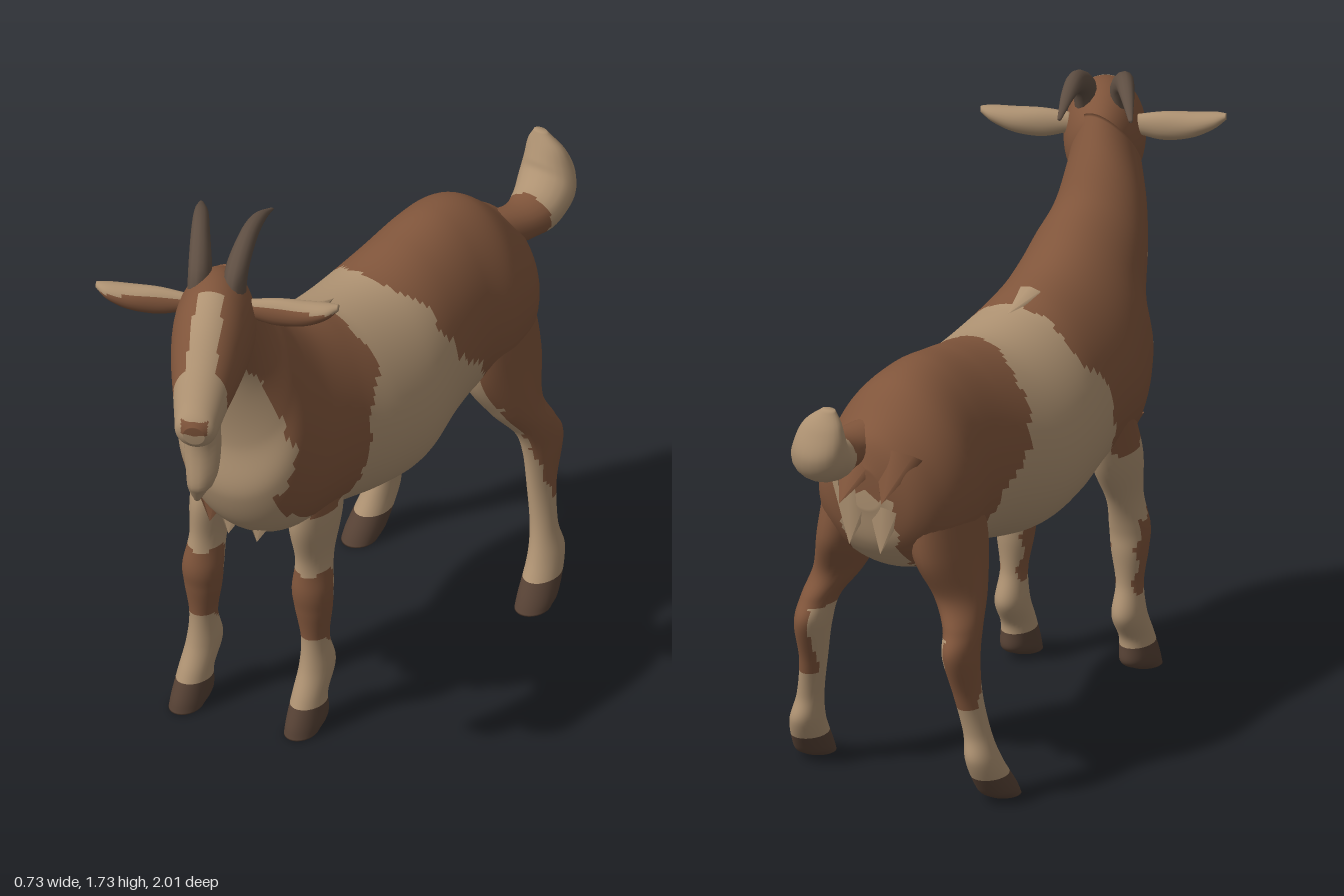
import * as THREE from 'three';

const mat = (name, color) => {
  const m = new THREE.MeshStandardMaterial({ color });
  m.name = name;
  return m;
};
const BROWN = 0, CREAM = 1, HOOF = 2, HORN = 3;

// Piecewise linear lookup in a table of [key, value] pairs
function lookup(table, k) {
  if (k <= table[0][0]) return table[0][1];
  for (let i = 1; i < table.length; i++) {
    const [k0, v0] = table[i - 1], [k1, v1] = table[i];
    if (k <= k1) return v0 + (v1 - v0) * (k - k0) / (k1 - k0);
  }
  return table[table.length - 1][1];
}

// Coat patch edges: height -> z
const hindEdge = [[0.3, -0.63], [0.42, -0.6], [0.52, -0.57], [0.6, -0.525], [0.66, -0.48],
  [0.75, -0.43], [0.85, -0.38], [0.9, -0.3], [0.96, -0.25], [1.05, -0.205], [1.18, -0.19]];
const shoulderBack = [[0.7, 0.3], [0.74, 0.24], [0.85, 0.2], [1, 0.17], [1.06, 0.085], [1.2, 0.08]];
const shoulderFront = [[0.7, 0.33], [0.74, 0.42], [0.79, 0.5], [0.85, 0.52], [0.95, 0.485],
  [1.05, 0.49], [1.2, 0.535], [1.3, 0.58], [1.4, 0.75]];

function coat(x, y, z) {
  const w = 0.006 * Math.sin(55 * y) + 0.005 * Math.sin(40 * x + 90 * y);
  if (z < 0) {
    const rear = z < -0.66 || (z < -0.5 && y < 0.78);
    if (Math.abs(x) < 0.085 + w && y < 0.94 && rear) return CREAM;
    const top = y > 1.1 ? 0.06 * Math.max(0, 1 - Math.abs(x) / 0.18) : 0;
    return z < lookup(hindEdge, y) + top + w ? BROWN : CREAM;
  }
  if (y < 0.715) return CREAM;
  return z > lookup(shoulderBack, y) + w && z < lookup(shoulderFront, y) + w ? BROWN : CREAM;
}

// Skin through sections [z1, y1, z2, y2, halfWidth, centreX]; each ring is an
// ellipse whose one axis joins the two points and whose other axis runs along x;
// pear widens the side of the second point
function loft(name, mats, sections, paint, sides = 32, steps = 8, pear = 0) {
  const curve = f => new THREE.CatmullRomCurve3(sections.map(f), false, 'catmullrom', 0.5);
  const first = curve(s => new THREE.Vector3(0, s[1], s[0]));
  const second = curve(s => new THREE.Vector3(0, s[3], s[2]));
  const width = curve(s => new THREE.Vector3(s[4], s[5] || 0, 0));
  const rows = (sections.length - 1) * steps, pos = [], bins = [[], [], [], []];
  for (let i = 0; i <= rows; i++) {
    const a = first.getPoint(i / rows), b = second.getPoint(i / rows), w = width.getPoint(i / rows);
    for (let j = 0; j < sides; j++) {
      const t = j / sides * Math.PI * 2, k = (1 + Math.sin(t)) / 2;
      const half = Math.max(w.x, 0.002) * (1 - pear * Math.sin(t));
      pos.push(w.y + half * Math.cos(t), b.y + (a.y - b.y) * k, b.z + (a.z - b.z) * k);
    }
  }
  const centre = ids => [0, 1, 2].map(c => ids.reduce((s, i) => s + pos[i * 3 + c], 0) / ids.length);
  const face = ids => {
    const bin = bins[paint(...centre(ids))];
    for (let k = 2; k < ids.length; k++) bin.push(ids[0], ids[k - 1], ids[k]);
  };
  for (let i = 0; i < rows; i++) for (let j = 0; j < sides; j++) {
    const n = (j + 1) % sides, r = i * sides, q = r + sides;
    face([r + j, r + n, q + n, q + j]);
  }
  // End caps
  for (const row of [0, rows]) {
    const ring = Array.from({ length: sides }, (_, j) => row * sides + j);
    const mid = pos.length / 3;
    pos.push(...centre(ring));
    ring.forEach((v, j) => {
      const n = ring[(j + 1) % sides];
      face(row ? [mid, v, n] : [mid, n, v]);
    });
  }
  const geo = new THREE.BufferGeometry();
  geo.setAttribute('position', new THREE.Float32BufferAttribute(pos, 3));
  geo.setIndex(bins.flat());
  let start = 0;
  bins.forEach((bin, m) => {
    if (bin.length) geo.addGroup(start, bin.length, m);
    start += bin.length;
  });
  geo.computeVertexNormals();
  const mesh = new THREE.Mesh(geo, mats);
  mesh.name = name;
  return mesh;
}

export function createModel() {
  const goat = new THREE.Group();
  goat.name = 'goat';
  const mats = [mat('brownCoat', 0x80553b), mat('creamCoat', 0xae9272),
    mat('darkHoof', 0x574235), mat('horn', 0x5e4e42)];

  // Trunk and neck
  goat.add(loft('trunkAndNeck', mats, [
    [-0.77, 1.02, -0.765, 0.9, 0.05], [-0.74, 1.1, -0.73, 0.78, 0.15],
    [-0.68, 1.15, -0.65, 0.69, 0.205], [-0.58, 1.225, -0.53, 0.65, 0.23],
    [-0.45, 1.245, -0.42, 0.65, 0.22], [-0.3, 1.22, -0.28, 0.625, 0.235],
    [-0.12, 1.185, -0.1, 0.585, 0.27], [0.05, 1.195, 0.05, 0.595, 0.27],
    [0.15, 1.225, 0.25, 0.63, 0.245], [0.24, 1.255, 0.46, 0.66, 0.235],
    [0.31, 1.295, 0.565, 0.82, 0.21], [0.37, 1.345, 0.565, 1.0, 0.175],
    [0.43, 1.41, 0.6, 1.17, 0.145, -0.01], [0.49, 1.5, 0.64, 1.29, 0.123, 0],
    [0.56, 1.6, 0.7, 1.36, 0.1, 0.03]], coat, 72, 14, 0.14));

  // Front legs, the right one a little further forward
  const frontLeg = [[0.38, 0.85, 0.2, 0.85, 0.065], [0.405, 0.68, 0.2, 0.68, 0.06],
    [0.38, 0.55, 0.24, 0.55, 0.046], [0.385, 0.45, 0.26, 0.45, 0.057],
    [0.375, 0.38, 0.265, 0.38, 0.053], [0.36, 0.28, 0.27, 0.28, 0.038],
    [0.37, 0.19, 0.245, 0.19, 0.045], [0.405, 0.11, 0.285, 0.11, 0.046],
    [0.435, 0.04, 0.285, 0.04, 0.05], [0.445, 0, 0.33, 0.01, 0.046]];
  for (const [name, cx, lead] of [['leftFrontLeg', 0.145, 0], ['rightFrontLeg', -0.178, 0.08]]) {
    const sections = frontLeg.map(([z1, y1, z2, y2, w]) => {
      const d = lead * Math.min(1, (0.85 - y1) / 0.35), x = cx * (1 + (0.4 - y1) * 0.14);
      return [z1 + d, y1, z2 + d, y2, w, x];
    });
    goat.add(loft(name, mats, sections, (x, y, z) => {
      if (y < 0.09) return HOOF;
      const w = 0.02 * Math.sin(45 * z + 30 * x), back = 0.29 + lead + 0.01 * Math.sin(60 * y);
      return y > 0.27 + w && y < 0.5 + w && z > back ? BROWN : coat(x, y, z);
    }, 28, 10));
  }

  // Hind legs, spreading outward toward the hooves
  const hindLeg = [[-0.41, 0.92, -0.71, 0.92, 0.085, 0.125], [-0.4, 0.75, -0.715, 0.75, 0.083, 0.155],
    [-0.47, 0.62, -0.665, 0.62, 0.068, 0.195], [-0.54, 0.53, -0.69, 0.54, 0.05, 0.23],
    [-0.565, 0.45, -0.718, 0.47, 0.045, 0.24], [-0.57, 0.34, -0.675, 0.34, 0.036, 0.25],
    [-0.56, 0.22, -0.65, 0.22, 0.037, 0.27], [-0.53, 0.13, -0.66, 0.14, 0.046, 0.285],
    [-0.475, 0.04, -0.61, 0.04, 0.053, 0.297], [-0.455, 0, -0.57, 0.01, 0.05, 0.3]];
  const hindPaint = (x, y, z) => {
    if (y < 0.085) return HOOF;
    if (y < 0.3 || (Math.abs(x) < 0.22 && y < 0.52)) return CREAM;
    // The brown wraps further forward on the outer face
    const outer = Math.min(1, Math.max(0, (Math.abs(x) - 0.36 + 0.24 * y) / 0.02));
    return coat(x, y, z - 0.03 * outer);
  };
  for (const [name, s] of [['leftHindLeg', 1], ['rightHindLeg', -1]]) {
    goat.add(loft(name, mats, hindLeg.map(r => [...r.slice(0, 5), r[5] * s]), hindPaint, 28, 10));
  }

  // Upturned tail with a pale end
  goat.add(loft('tail', mats, [
    [-0.66, 1.0, -0.64, 1.14, 0.06, 0.03], [-0.77, 1.01, -0.75, 1.125, 0.065, 0.07],
    [-0.86, 1.01, -0.82, 1.135, 0.08, 0.07], [-0.96, 1.05, -0.87, 1.165, 0.09, 0.055],
    [-1.0, 1.12, -0.885, 1.195, 0.08, 0.045], [-0.98, 1.2, -0.905, 1.235, 0.06, 0.035],
    [-0.945, 1.265, -0.92, 1.265, 0.02, 0.02]], (x, y, z) => z < -0.81 ? CREAM : BROWN, 20, 8));

  // Head group, turned toward the left
  const head = new THREE.Group();
  head.name = 'head';
  head.position.set(0.03, 0, 0.6);
  head.rotation.y = 0.45;
  goat.add(head);
  head.add(loft('skull', mats, [
    [-0.08, 1.53, -0.01, 1.38, 0.04], [-0.03, 1.6, 0.02, 1.33, 0.085],
    [0.06, 1.64, 0.08, 1.31, 0.112], [0.16, 1.635, 0.15, 1.3, 0.113],
    [0.25, 1.58, 0.24, 1.295, 0.1], [0.33, 1.5, 0.32, 1.285, 0.08],
    [0.4, 1.42, 0.38, 1.27, 0.064], [0.43, 1.385, 0.415, 1.28, 0.055],
    [0.445, 1.36, 0.435, 1.3, 0.03]], (x, y, z) => {
    if (z > 0.425 && y > 1.335 && y < 1.375 && Math.abs(x) < 0.038) return BROWN;
    const blaze = Math.abs(x) < 0.037 + 0.03 * (z - 0.12) && z > 0.16;
    return y > 1.37 + 0.012 * Math.sin(35 * z) && z < 0.335 && !blaze ? BROWN : CREAM;
  }, 56, 12));
  head.add(loft('beard', mats, [
    [0.37, 1.31, 0.19, 1.31, 0.045], [0.355, 1.22, 0.24, 1.22, 0.053],
    [0.365, 1.11, 0.255, 1.15, 0.045], [0.34, 1.07, 0.27, 1.09, 0.03, -0.01],
    [0.31, 1.03, 0.285, 1.035, 0.01, -0.015]], () => CREAM, 12, 5));

  // Horns and ears, mirrored
  for (const s of [1, -1]) {
    const side = s > 0 ? 'left' : 'right';
    const half = new THREE.Group();
    half.name = side + 'HornAndEar';
    half.scale.x = s;
    half.add(loft(side + 'Horn', mats, [
      [0.02, 1.57, 0.14, 1.58, 0.033, 0.05], [-0.01, 1.64, 0.1, 1.66, 0.033, 0.053],
      [-0.07, 1.675, -0.02, 1.725, 0.027, 0.068], [-0.15, 1.685, -0.13, 1.722, 0.02, 0.083],
      [-0.24, 1.665, -0.235, 1.675, 0.006, 0.1]], () => HORN, 12, 5));
    // Broad ear with a blunt tip, built hanging and then swung outward
    const ear = loft(side + 'Ear', mats, [
      [0.02, 0, -0.02, 0, 0.028], [0.03, -0.08, -0.03, -0.08, 0.042, -0.003],
      [0.038, -0.16, -0.034, -0.16, 0.037, 0.002], [0.034, -0.22, -0.026, -0.22, 0.024, 0.016],
      [0.012, -0.255, -0.01, -0.255, 0.009, 0.03]],
    (x, y, z) => z > 0 && x < 0.02 ? BROWN : CREAM, 20, 8);
    ear.position.set(0.09, 1.53, 0.065);
    ear.rotation.z = Math.PI / 2;
    half.add(ear);
    head.add(half);
  }

  // Ragged hair lying close to the body: position, tilt about x, length, radius, colour
  const tufts = [
    [0.04, 0.99, -0.78, -2.3, 0.16, 0.08, BROWN], [-0.07, 1.0, -0.75, -2.5, 0.15, 0.08, BROWN],
    [0.05, 0.87, -0.75, -2.95, 0.18, 0.08, CREAM], [-0.05, 0.86, -0.745, -2.9, 0.18, 0.08, CREAM],
    [0.0, 1.205, 0.09, -1.7, 0.13, 0.04, CREAM], [-0.11, 0.71, 0.45, 2.95, 0.14, 0.09, BROWN],
    [-0.03, 0.72, 0.47, 2.95, 0.16, 0.1, CREAM], [0.06, 0.71, 0.46, 2.95, 0.14, 0.09, CREAM]];
  for (const [x, y, z, tilt, len, r, m] of tufts) {
    const tuft = new THREE.Mesh(new THREE.ConeGeometry(r, len, 7), mats[m]);
    tuft.name = 'hairTuft';
    tuft.position.set(x, y, z);
    tuft.rotation.x = tilt;
    tuft.scale.z = 0.5;
    goat.add(tuft);
  }
  return goat;
}
